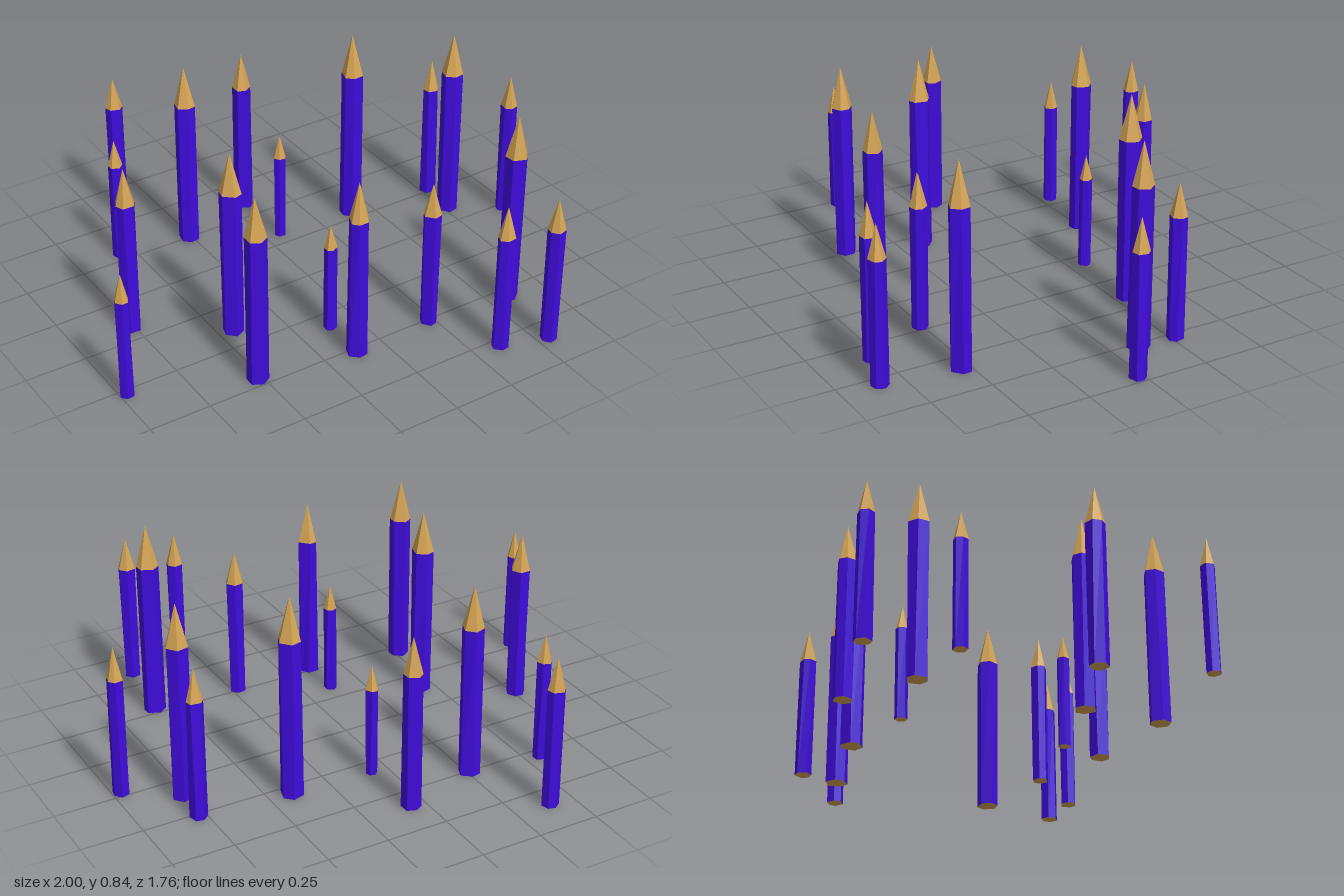
import * as THREE from 'three';

const SIDES = 6;

// Small seeded generator for the hand-cut irregularity
function seeded(seed) {
  let s = seed;
  return () => (s = (s * 16807) % 2147483647) / 2147483647;
}

// Irregular polygon ring at height y
function ring(radius, y, turn, rand) {
  return Array.from({ length: SIDES }, (_, i) => {
    const a = turn + (i / SIDES) * Math.PI * 2 + (rand() - 0.5) * 0.3;
    const r = radius * (0.92 + rand() * 0.14);
    return new THREE.Vector3(Math.sin(a) * r, y, Math.cos(a) * r);
  });
}

function facets(name, points, material) {
  const geometry = new THREE.BufferGeometry().setFromPoints(points);
  geometry.computeVertexNormals();
  const mesh = new THREE.Mesh(geometry, material);
  mesh.name = name;
  return mesh;
}

// One sharpened stake: painted shaft, bare wood tip and bare cut base
function makeStake(x, z, height, paint, wood, rand) {
  const radius = height * 0.054;
  const turn = rand() * Math.PI * 2;
  const low = ring(radius, 0, turn, rand);
  const high = ring(radius, height * 0.788, turn, rand);
  const apex = new THREE.Vector3(0, height, 0);
  const foot = new THREE.Vector3(0, 0, 0);
  const shaft = [], tip = [], base = [];
  for (let i = 0; i < SIDES; i++) {
    const j = (i + 1) % SIDES;
    shaft.push(low[i], low[j], high[j], low[i], high[j], high[i]);
    tip.push(high[i], high[j], apex);
    base.push(low[j], low[i], foot);
  }
  const stake = new THREE.Group();
  stake.name = 'stake';
  stake.add(
    facets('shaft', shaft, paint),
    facets('tip', tip, wood),
    facets('cutBase', base, wood)
  );
  stake.position.set(x, 0, z);
  return stake;
}

export function createModel() {
  const model = new THREE.Group();
  model.name = 'stakeField';
  const paint = new THREE.MeshStandardMaterial({ color: 0x3f0cdc, flatShading: true });
  const wood = new THREE.MeshStandardMaterial({ color: 0xd4a455, flatShading: true });
  const rand = seeded(4711);

  // x, z, height of each stake
  const stakes = [
    [-0.4, -0.845, 0.63], [-0.56, -0.545, 0.54], [-0.26, -0.5, 0.8],
    [0.06, -0.595, 0.72], [0.07, -0.32, 0.47], [0.405, -0.3, 0.84],
    [0.78, -0.265, 0.63], [0.77, -0.11, 0.82], [0.965, 0.025, 0.63],
    [-0.76, -0.08, 0.72], [-0.44, 0.15, 0.8], [-0.973, 0.275, 0.54],
    [-0.117, 0.335, 0.47], [-0.52, 0.455, 0.8], [-0.117, 0.52, 0.76],
    [0.225, 0.51, 0.63], [0.59, 0.54, 0.82], [0.362, 0.785, 0.63],
    [0.55, 0.845, 0.63],
  ];
  for (const [x, z, h] of stakes) model.add(makeStake(x, z, h, paint, wood, rand));
  return model;
}
